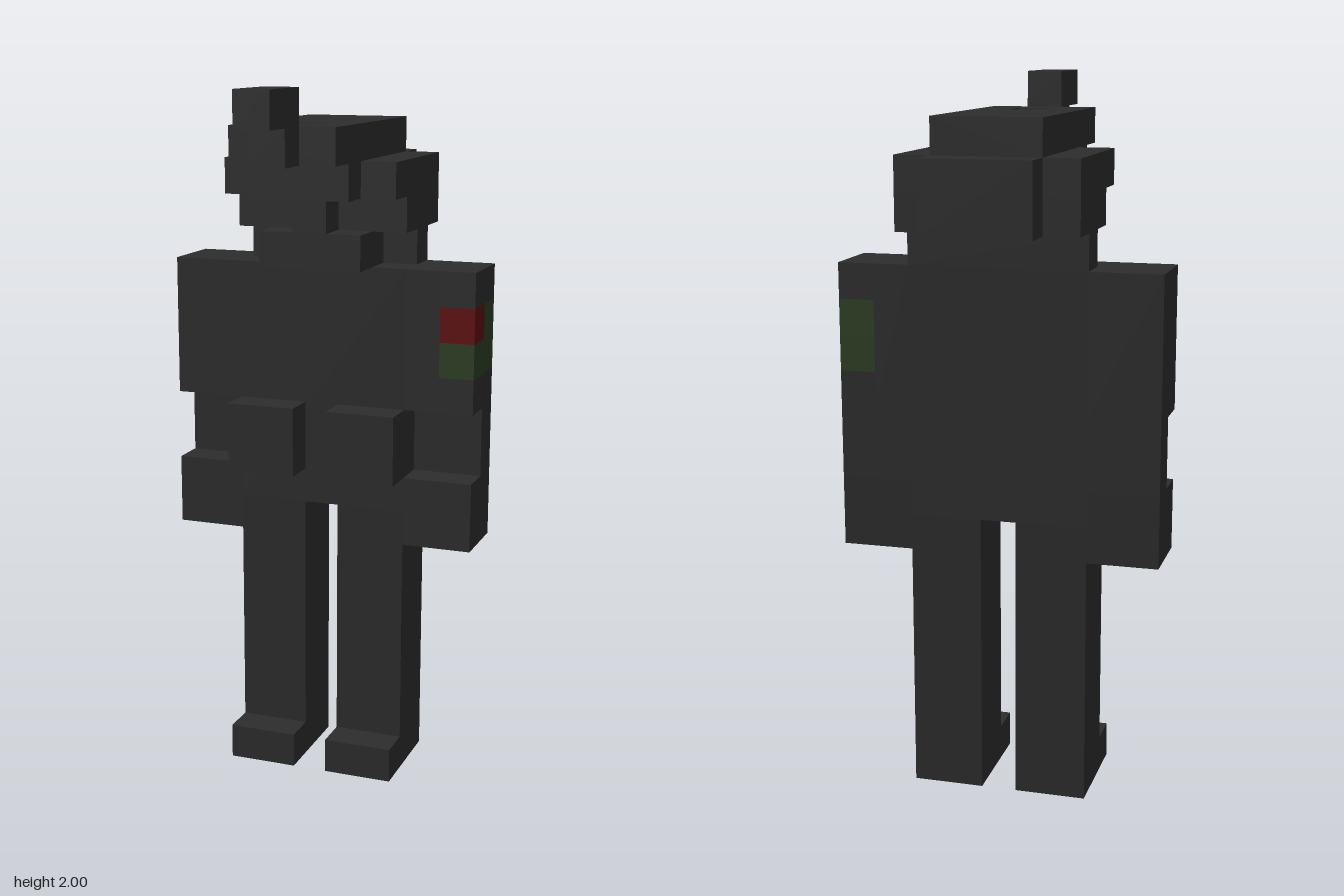
import * as THREE from 'three';

export function createModel() {
  const model = new THREE.Group();
  model.name = 'blockFigure';

  const mat = (name, color) => {
    const m = new THREE.MeshStandardMaterial({ color });
    m.name = name;
    return m;
  };
  const charcoal = mat('charcoal', 0x2d2d2d);
  const red = mat('darkRed', 0x620c0e);
  const green = mat('darkGreen', 0x2d3f22);

  // Box from its lower and upper limits on each axis
  const block = (name, [x0, x1], [y0, y1], [z0, z1], material = charcoal) => {
    const mesh = new THREE.Mesh(new THREE.BoxGeometry(x1 - x0, y1 - y0, z1 - z0), material);
    mesh.position.set((x0 + x1) / 2, (y0 + y1) / 2, (z0 + z1) / 2);
    mesh.name = name;
    model.add(mesh);
  };
  const span = (s, a, b) => (s > 0 ? [a, b] : [-b, -a]);
  const bodyZ = [-0.25, -0.05];

  block('torso', [-0.25, 0.25], [0.8, 1.5], bodyZ);

  // Limbs, mirrored left and right
  for (const [s, side] of [[1, 'left'], [-1, 'right']]) {
    block(side + 'Leg', span(s, 0.05, 0.25), [0, 0.8], bodyZ);
    block(side + 'Toe', span(s, 0.05, 0.25), [0, 0.1], [-0.05, 0.05]);
    block(side + 'Pouch', span(s, 0.05, 0.25), [0.9, 1.1], [-0.05, 0.05]);
    block(side + 'Hand', span(s, 0.25, 0.45), [0.7, 0.9], bodyZ);
    block(side + 'Forearm', span(s, 0.25, 0.45), [0.9, 1.1], [-0.25, -0.15]);
  }
  block('rightUpperArm', [-0.45, -0.25], [1.1, 1.5], bodyZ);

  // Left upper arm, built around the coloured shoulder patch
  block('leftUpperArmInner', [0.25, 0.35], [1.1, 1.5], bodyZ);
  block('leftUpperArmLower', [0.35, 0.45], [1.1, 1.2], bodyZ);
  block('leftUpperArmTop', [0.35, 0.45], [1.4, 1.5], bodyZ);
  block('patchLower', [0.35, 0.45], [1.2, 1.3], bodyZ, green);
  block('patchBack', [0.35, 0.45], [1.3, 1.4], [-0.25, -0.15], green);
  block('patchFront', [0.35, 0.45], [1.3, 1.4], [-0.15, -0.05], red);

  // Head
  block('neck', [-0.25, 0.25], [1.5, 1.6], [-0.25, -0.15]);
  block('chin', [-0.15, 0.15], [1.5, 1.6], [-0.15, 0.05]);
  block('nose', [-0.05, 0.05], [1.6, 1.7], [-0.05, 0.05]);
  block('headLower', [-0.25, 0.25], [1.6, 1.7], [-0.35, -0.05]);
  block('headUpper', [-0.25, 0.25], [1.7, 1.8], [-0.35, 0.05]);
  block('headBack', [-0.15, 0.15], [1.6, 1.8], [-0.45, -0.35]);
  block('brow', [-0.15, 0.15], [1.7, 1.8], [0.05, 0.15]);

  // Crown slab with a square recess
  const rect = (P, x, za, zb) => new P([
    new THREE.Vector2(-x, -zb), new THREE.Vector2(x, -zb),
    new THREE.Vector2(x, -za), new THREE.Vector2(-x, -za),
  ]);
  const slab = rect(THREE.Shape, 0.15, -0.35, 0.25);
  slab.holes.push(rect(THREE.Path, 0.05, 0.05, 0.15));
  const crown = new THREE.Mesh(
    new THREE.ExtrudeGeometry(slab, { depth: 0.1, bevelEnabled: false }), charcoal);
  crown.rotation.x = -Math.PI / 2;
  crown.position.y = 1.8;
  crown.name = 'crown';
  model.add(crown);

  // Stepped crest at the front
  block('crestBase', [-0.05, 0.05], [1.8, 1.9], [0.25, 0.35]);
  block('crestTip', [-0.05, 0.05], [1.9, 2], [0.25, 0.45]);

  return model;
}
